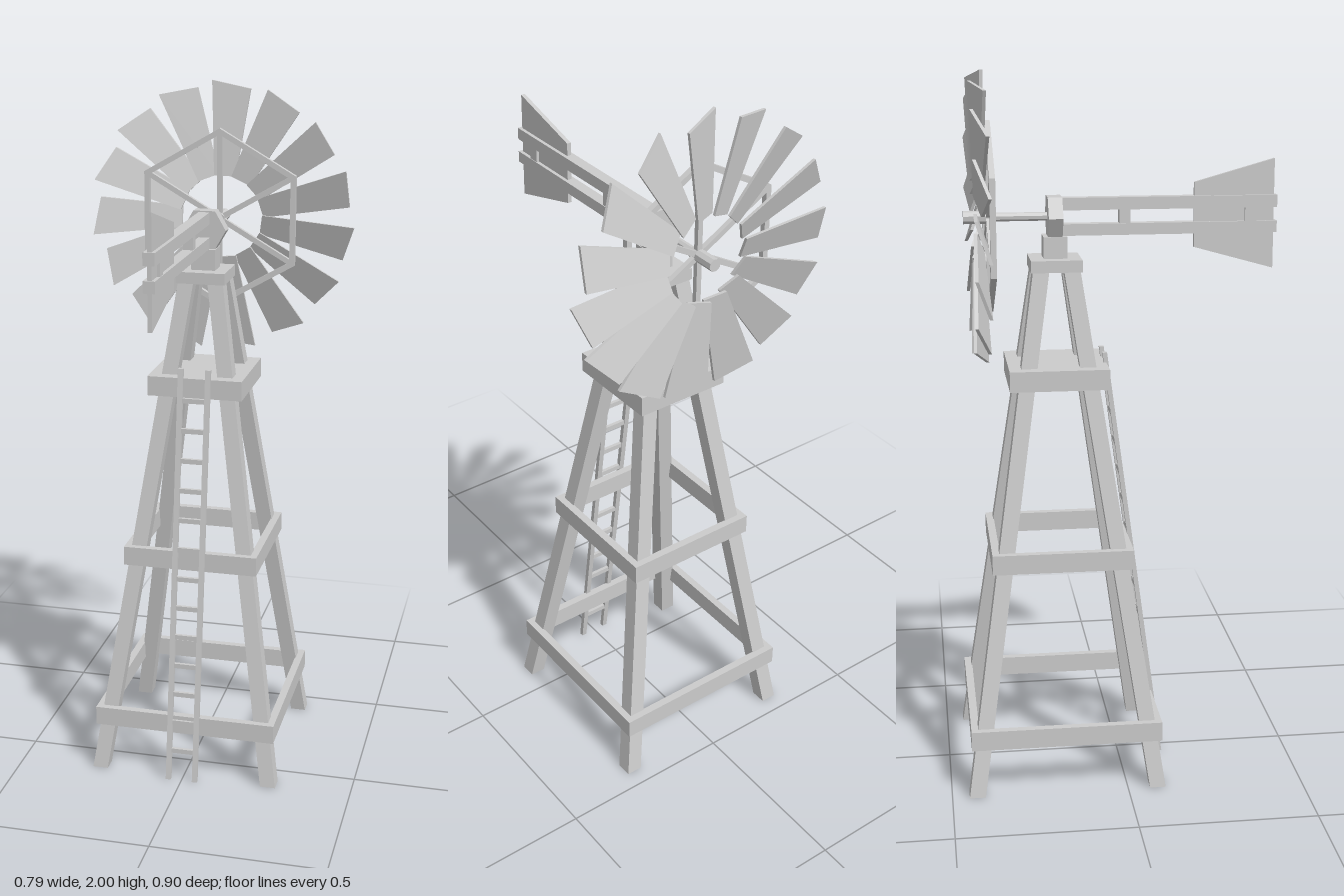
import * as THREE from 'three';

const material = new THREE.MeshStandardMaterial({ color: 0xcccccc, flatShading: true });
const TOWER_Z = -0.172; // tower axis
const HUB_Y = 1.603;    // wheel axis height

function add(parent, name, geometry, x = 0, y = 0, z = 0) {
  const mesh = new THREE.Mesh(geometry, material);
  mesh.name = name;
  mesh.position.set(x, y, z);
  parent.add(mesh);
  return mesh;
}

function group(parent, name, x = 0, y = 0, z = 0) {
  const g = new THREE.Group();
  g.name = name;
  g.position.set(x, y, z);
  parent.add(g);
  return g;
}

// Box given by its limits on each axis
function span(parent, name, x0, x1, y0, y1, z0, z1) {
  return add(parent, name, new THREE.BoxGeometry(x1 - x0, y1 - y0, z1 - z0),
    (x0 + x1) / 2, (y0 + y1) / 2, (z0 + z1) / 2);
}

// Move every vertex of a geometry by a rule
function warp(geometry, rule) {
  const p = geometry.attributes.position;
  const v = new THREE.Vector3();
  for (let i = 0; i < p.count; i++) {
    v.fromBufferAttribute(p, i);
    rule(v);
    p.setXYZ(i, v.x, v.y, v.z);
  }
  geometry.computeVertexNormals();
  return geometry;
}

// Upright post with level ends, leaning from one point to another
function leaningPost(w, d, from, to) {
  return warp(new THREE.BoxGeometry(w, 1, d), (v) => {
    const t = v.y + 0.5;
    v.x += from.x + (to.x - from.x) * t;
    v.z += from.z + (to.z - from.z) * t;
    v.y = from.y + (to.y - from.y) * t;
  });
}

// Cylinder lying along z between two depths
function axle(parent, name, radius, sides, z0, z1) {
  const g = new THREE.CylinderGeometry(radius, radius, z1 - z0, sides, 1, false, Math.PI / 6);
  g.rotateX(Math.PI / 2);
  return add(parent, name, g, 0, HUB_Y, (z0 + z1) / 2);
}

function buildTower(root) {
  const tower = group(root, 'tower', 0, 0, TOWER_Z);
  // Four leaning legs
  for (const sx of [-1, 1]) for (const sz of [-1, 1]) {
    add(tower, 'leg', leaningPost(0.045, 0.045,
      new THREE.Vector3(sx * 0.257, 0, sz * 0.257),
      new THREE.Vector3(sx * 0.043, 1.46, sz * 0.043)));
  }
  // Two square belts of boards around the legs
  for (const [r, y0, y1] of [[0.27, 0.14, 0.196], [0.198, 0.634, 0.69]]) {
    const t = 0.022;
    for (const s of [-1, 1]) {
      const a = s * r, b = s * (r - t);
      const lo = Math.min(a, b), hi = Math.max(a, b);
      span(tower, 'crossBoard', -r, r, y0, y1, lo, hi);
      span(tower, 'sideBoard', lo, hi, y0, y1, -r + t, r - t);
    }
  }
  // Work platform and cap
  span(tower, 'platform', -0.138, 0.138, 1.14, 1.197, -0.138, 0.138);
  span(tower, 'towerCap', -0.071, 0.071, 1.457, 1.49, -0.071, 0.071);
  span(tower, 'headBase', -0.035, 0.035, 1.49, 1.55, -0.033, 0.033);
}

function buildLadder(root) {
  const ladder = group(root, 'ladder');
  const top = 1.225, zAt = (y) => 0.124 - 0.162 * (y / top);
  for (const s of [-1, 1]) {
    add(ladder, 'ladderRail', leaningPost(0.015, 0.013,
      new THREE.Vector3(s * 0.04, 0, zAt(0)),
      new THREE.Vector3(s * 0.04, top, zAt(top))));
  }
  for (let i = 0; i < 13; i++) {
    const y = 0.09 + i * 0.087;
    add(ladder, 'ladderRung', new THREE.BoxGeometry(0.07, 0.014, 0.01), 0, y, zAt(y));
  }
}

function buildTail(root) {
  const tail = group(root, 'tail');
  // Twin beams with spacers
  span(tail, 'upperBeam', -0.016, 0.016, 1.62, 1.654, -0.19, 0.45);
  span(tail, 'lowerBeam', -0.016, 0.016, 1.55, 1.582, -0.19, 0.45);
  span(tail, 'beamSpacer', -0.014, 0.014, 1.582, 1.62, 0.007, 0.038);
  span(tail, 'beamSpacer', -0.014, 0.014, 1.582, 1.62, 0.36, 0.392);
  // Vane widening toward its end
  const vane = warp(new THREE.BoxGeometry(0.012, 2, 0.225), (v) => {
    v.y *= v.z > 0 ? 0.153 : 0.09;
  });
  add(tail, 'tailVane', vane, 0, 1.601, 0.33);
}

function buildWheel(root) {
  axle(root, 'gearHead', 0.063, 6, TOWER_Z - 0.02, TOWER_Z + 0.02);
  axle(root, 'shaft', 0.012, 8, -0.36, -0.18);
  axle(root, 'hub', 0.018, 8, -0.422, -0.337);

  const wheel = group(root, 'wheel', 0, HUB_Y, 0);

  // Hexagonal rim on the tower side of the blades
  const hexagon = (r, path) => {
    const pts = [];
    for (let i = 0; i < 6; i++) {
      const a = Math.PI / 2 + i * Math.PI / 3;
      pts.push(new THREE.Vector2(r * Math.cos(a), r * Math.sin(a)));
    }
    return path.setFromPoints(pts);
  };
  const rim = hexagon(0.262, new THREE.Shape());
  rim.holes.push(hexagon(0.244, new THREE.Path()));
  add(wheel, 'hexRim', new THREE.ExtrudeGeometry(rim, { depth: 0.016, bevelEnabled: false }), 0, 0, -0.36);

  // Spokes from hub to the rim corners
  for (let i = 0; i < 6; i++) {
    const g = new THREE.BoxGeometry(0.24, 0.015, 0.014);
    g.translate(0.13, 0, 0);
    add(wheel, 'spoke', g, 0, 0, -0.353).rotation.z = Math.PI / 2 + i * Math.PI / 3;
  }

  // Fifteen pitched, tapering blades
  const blade = warp(new THREE.BoxGeometry(1, 2, 0.009), (v) => {
    const outer = v.x > 0;
    v.y *= outer ? 0.054 : 0.03;
    v.x = outer ? 0.385 + 0.17 * v.y : 0.12;
    v.z += 0.34 * v.y;
  });
  for (let i = 0; i < 15; i++) {
    add(wheel, 'blade', blade, 0, 0, -0.384).rotation.z = THREE.MathUtils.degToRad(86 + 24 * i);
  }
}

export function createModel() {
  const root = new THREE.Group();
  root.name = 'windpump';
  buildTower(root);
  buildLadder(root);
  buildTail(root);
  buildWheel(root);
  return root;
}
